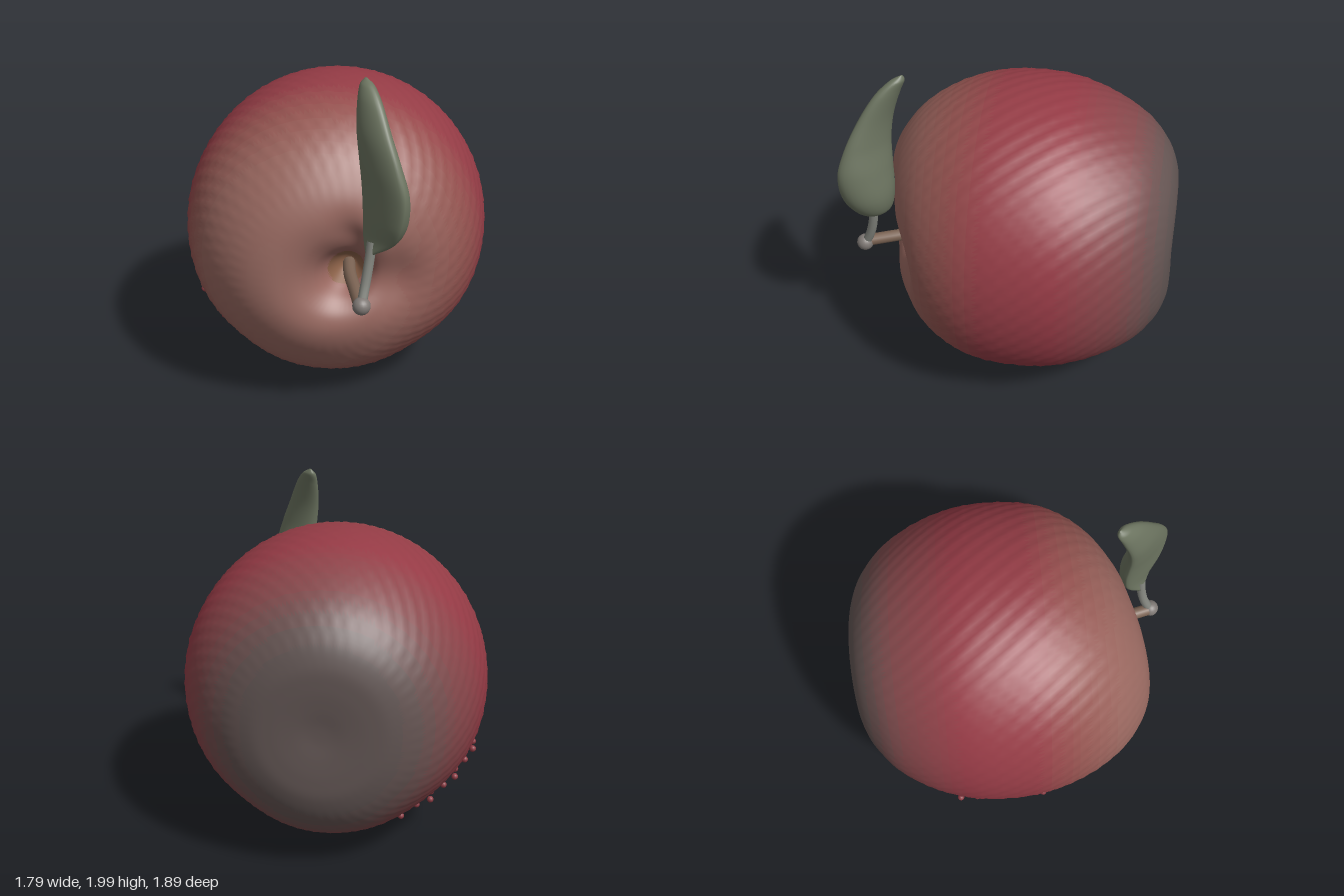
import * as THREE from 'three';
import { mergeVertices } from 'three/addons/utils/BufferGeometryUtils.js';

const V3 = (x, y, z) => new THREE.Vector3(x, y, z);
const bump = (d, width) => Math.exp(-((d / width) ** 2));

function addMesh(parent, name, geometry, color) {
  const mesh = new THREE.Mesh(geometry, new THREE.MeshStandardMaterial({ color }));
  mesh.name = name;
  parent.add(mesh);
  return mesh;
}

// Fruit lying on its side: core axis along z, stem hollow at the front
function fruitGeometry() {
  const profile = [
    [0, -0.925], [0.06, -0.927], [0.16, -0.937], [0.28, -0.942], [0.4, -0.932], [0.54, -0.875],
    [0.68, -0.75], [0.8, -0.54], [0.88, -0.3], [0.9, -0.06], [0.875, 0.17], [0.795, 0.38],
    [0.665, 0.56], [0.5, 0.685], [0.36, 0.735], [0.25, 0.72], [0.165, 0.655], [0.105, 0.56],
    [0.05, 0.47], [0, 0.44]
  ].map(([r, z]) => new THREE.Vector2(r, z));
  const points = new THREE.SplineCurve(profile).getPoints(110);
  points.forEach(p => { p.x = Math.max(p.x, 0); });
  points[0].x = points[points.length - 1].x = 0;

  let geometry = new THREE.LatheGeometry(points, 192);
  geometry.rotateX(Math.PI / 2);
  geometry.deleteAttribute('uv');
  geometry.deleteAttribute('normal');
  geometry = mergeVertices(geometry, 1e-5);

  const pos = geometry.attributes.position;
  for (let i = 0; i < pos.count; i++) {
    let x = pos.getX(i), y = pos.getY(i), z = pos.getZ(i);
    const r = Math.hypot(x, y), angle = Math.atan2(y, x);
    // fine dimples on the skin, and slightly flattened lower flanks
    const fade = Math.min(1, r * r * 1.6);
    const flank = bump(angle + 2.3, 0.3) + bump(angle + 0.9, 0.3);
    const scale = 1 + fade * (0.006 * Math.sin(angle * 48) * Math.sin(z * 48) - 0.02 * flank);
    x *= scale * 0.99;
    y *= scale;
    if (z > 0) {
      // front leans to one side, with an off-centre hollow, a notch in its rim and a furrow above
      const near = Math.min(1, z * 3);
      z -= 0.35 * x * Math.max(0, 1 - r / 0.89) * near;
      z -= 0.09 * bump(x - 0.36, 0.2) * bump(y + 0.06, 0.2) * near;
      z -= 0.05 * bump(x - 0.1, 0.1) * bump(y - 0.22, 0.12) * near;
      const w = bump(r, 0.38) * near;
      x += 0.13 * w;
      y -= 0.04 * w;
    } else {
      // blossom end drops away towards both sides
      z += 0.15 * x * x * Math.max(0, 1 - r * r) * THREE.MathUtils.clamp((-z - 0.5) * 3, 0, 1);
    }
    pos.setXYZ(i, x, y + 0.91, z);
  }
  geometry.computeVertexNormals();
  return geometry;
}

// Colour stops along the core axis, from the blossom end to the stem end
const skinStops = [
  [-0.95, 0x5f5553], [-0.85, 0x675553], [-0.65, 0x84484b], [-0.3, 0x953a45],
  [0.1, 0x953d46], [0.35, 0x945450], [0.6, 0x99675f], [0.85, 0x9a6c63]
];
function skinColor(z) {
  let k = 0;
  while (k < skinStops.length - 2 && z > skinStops[k + 1][0]) k++;
  const [z0, c0] = skinStops[k], [z1, c1] = skinStops[k + 1];
  return new THREE.Color(c0).lerp(new THREE.Color(c1), THREE.MathUtils.clamp((z - z0) / (z1 - z0), 0, 1));
}

// Share one smooth surface between colour bands
function addFruit(parent) {
  const fruit = new THREE.Group();
  fruit.name = 'fruit';
  parent.add(fruit);
  const geometry = fruitGeometry(), pos = geometry.attributes.position, index = geometry.index;
  const count = 32, bands = Array.from({ length: count }, () => []), hollow = [];
  for (let i = 0; i < index.count; i += 3) {
    const tri = [index.getX(i), index.getX(i + 1), index.getX(i + 2)];
    const mean = axis => tri.reduce((s, v) => s + pos.getComponent(v, axis), 0) / 3;
    const z = mean(2);
    const inHollow = z > 0.3 && Math.hypot(mean(0) - 0.13, mean(1) - 0.87) < 0.1;
    const k = THREE.MathUtils.clamp(Math.floor((z + 0.95) / 1.8 * count), 0, count - 1);
    (inHollow ? hollow : bands[k]).push(...tri);
  }
  const part = tris => {
    const g = new THREE.BufferGeometry();
    g.setAttribute('position', pos);
    g.setAttribute('normal', geometry.attributes.normal);
    g.setIndex(tris);
    return g;
  };
  bands.forEach((tris, k) => {
    if (tris.length) addMesh(fruit, 'skinBand' + (k + 1), part(tris), skinColor(-0.95 + (k + 0.5) / count * 1.8));
  });
  addMesh(fruit, 'stemHollow', part(hollow), 0x8a6047);

  // Rough nodules along the lower right flank
  const nodule = new THREE.SphereGeometry(0.02, 10, 8);
  for (let i = 0; i < 7; i++) for (let j = 0; j < 6; j++) {
    const angle = 3.5 + i * 0.12, z = -0.36 + j * 0.1 + (i % 2) * 0.05;
    const mesh = addMesh(fruit, 'skinNodule', nodule, 0x8a3a42);
    mesh.position.set(Math.cos(angle) * 0.875, 0.91 + Math.sin(angle) * 0.875, z);
  }
}

// Leaf: closed cross-sections between an inner and an outer edge
function leafGeometry() {
  // y, inner x, inner z, outer x, outer z, thickness behind, thickness in front
  const rows = [
    [1.09, 0.26, 0.78, 0.31, 0.82, 0.03, 0.02], [1.16, 0.245, 0.715, 0.405, 0.865, 0.095, 0.04],
    [1.28, 0.24, 0.69, 0.455, 0.925, 0.12, 0.045], [1.45, 0.23, 0.69, 0.475, 0.94, 0.1, 0.045],
    [1.6, 0.215, 0.69, 0.44, 0.9, 0.075, 0.045], [1.75, 0.2, 0.67, 0.385, 0.83, 0.06, 0.045],
    [1.9, 0.2, 0.62, 0.325, 0.735, 0.045, 0.04], [1.97, 0.21, 0.59, 0.28, 0.66, 0.03, 0.03],
    [2.0, 0.23, 0.595, 0.24, 0.605, 0.004, 0.004]
  ];
  const curve = pick => new THREE.CatmullRomCurve3(rows.map(pick));
  const inner = curve(r => V3(r[1], r[0], r[2]));
  const outer = curve(r => V3(r[3], r[0], r[4]));
  const thick = curve(r => V3(r[5], r[6], 0));
  const steps = 48, sides = 28, verts = [], tris = [];
  for (let i = 0; i <= steps; i++) {
    const a = inner.getPoint(i / steps), b = outer.getPoint(i / steps), t = thick.getPoint(i / steps);
    const mid = a.clone().add(b).multiplyScalar(0.5), half = b.clone().sub(a).multiplyScalar(0.5);
    const across = V3(half.z, 0, -half.x).normalize();
    for (let j = 0; j < sides; j++) {
      const q = j / sides * Math.PI * 2, s = Math.sin(q);
      const p = mid.clone().addScaledVector(half, Math.cos(q)).addScaledVector(across, s * (s > 0 ? t.x : t.y));
      verts.push(p.x, p.y, p.z);
    }
  }
  for (let i = 0; i < steps; i++) for (let j = 0; j < sides; j++) {
    const a = i * sides + j, b = i * sides + (j + 1) % sides;
    tris.push(a, a + sides, b, b, a + sides, b + sides);
  }
  // end caps
  const top = steps * sides;
  for (let j = 1; j < sides - 1; j++) tris.push(0, j, j + 1, top, top + j + 1, top + j);
  const g = new THREE.BufferGeometry();
  g.setAttribute('position', new THREE.Float32BufferAttribute(verts, 3));
  g.setIndex(tris);
  g.computeVertexNormals();
  return g;
}

export function createModel() {
  const model = new THREE.Group();
  model.name = 'apple';
  addFruit(model);

  // Stem rising out of the hollow, with a blunt knob at its end
  const stemPath = new THREE.CatmullRomCurve3([
    V3(0.13, 0.86, 0.42), V3(0.155, 0.85, 0.58), V3(0.2, 0.835, 0.74), V3(0.24, 0.82, 0.88)
  ]);
  addMesh(model, 'stem', new THREE.TubeGeometry(stemPath, 24, 0.036, 14), 0x7b6353);
  const knob = addMesh(model, 'stemKnob', new THREE.SphereGeometry(0.05, 20, 14), 0x7f7975);
  knob.position.set(0.25, 0.815, 0.888);

  // Leaf stalk climbing from the knob to the leaf
  const stalkPath = new THREE.CatmullRomCurve3([
    V3(0.25, 0.82, 0.88), V3(0.265, 0.92, 0.84), V3(0.28, 1.03, 0.815), V3(0.295, 1.16, 0.8)
  ]);
  addMesh(model, 'leafStalk', new THREE.TubeGeometry(stalkPath, 20, 0.027, 12), 0x84867f);
  const leaf = addMesh(model, 'leaf', leafGeometry(), 0x6c7460);
  leaf.material.side = THREE.DoubleSide;
  return model;
}
